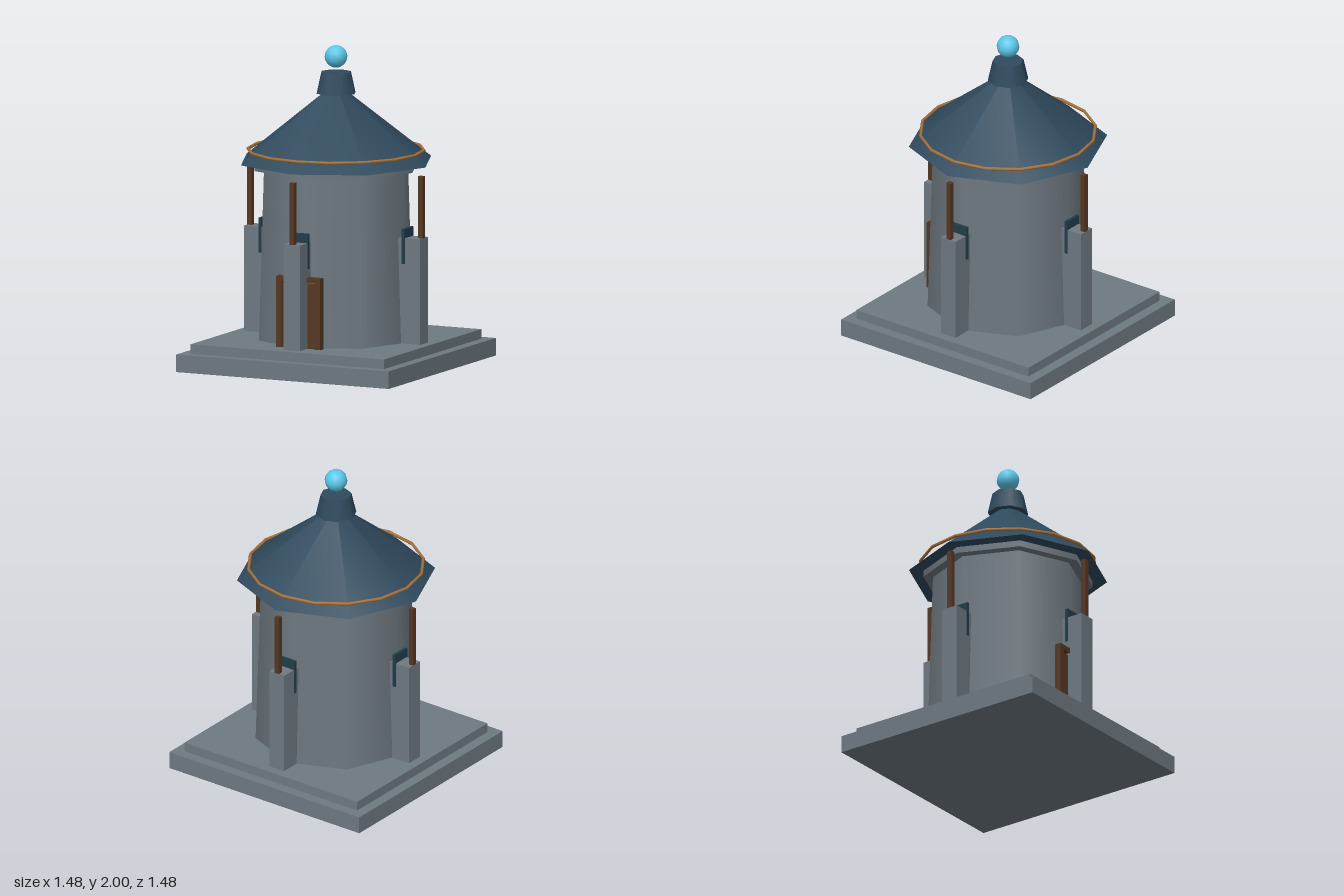
import * as THREE from 'three';

const mat = (color) => new THREE.MeshStandardMaterial({ color });

export function createModel() {
  const model = new THREE.Group();
  model.name = 'tower';
  const stone = mat(0x6e7981), slate = mat(0x2f4a5d), wood = mat(0x553722);
  const brass = mat(0xa8733c), teal = mat(0x223c49), glow = mat(0x5cc8ea);

  const add = (name, geometry, material, x, y, z, parent = model) => {
    const mesh = new THREE.Mesh(geometry, material);
    mesh.name = name;
    mesh.position.set(x, y, z);
    parent.add(mesh);
    return mesh;
  };
  // Box given by its width, depth range and height range
  const block = (name, material, w, y0, y1, z0, z1, x = 0, parent = model) =>
    add(name, new THREE.BoxGeometry(w, y1 - y0, z1 - z0), material, x, (y0 + y1) / 2, (z0 + z1) / 2, parent);
  // Eight-sided drum or cone with smooth sides
  const drum = (name, material, rTop, rBottom, y0, y1) =>
    add(name, new THREE.CylinderGeometry(rTop, rBottom, y1 - y0, 8), material, 0, (y0 + y1) / 2, 0);

  // Stepped square base
  block('base', stone, 1.475, 0, 0.11, -0.7375, 0.7375);
  block('baseStep', stone, 1.34, 0.11, 0.17, -0.67, 0.67);

  // Tapered wall, cornice and roof
  drum('wall', stone, 0.47, 0.503, 0.17, 1.24);
  drum('cornice', stone, 0.53, 0.53, 1.235, 1.277);
  drum('roof', slate, 0, 0.62, 1.275, 1.765);
  drum('roofCap', slate, 0.097, 0.127, 1.7, 1.832);
  add('orb', new THREE.SphereGeometry(0.071, 12, 8), glow, 0, 1.929, 0);

  // Metal band round the roof
  const band = add('roofBand', new THREE.TorusGeometry(0.547, 0.01, 6, 16), brass, 0, 1.345, 0);
  band.rotation.x = Math.PI / 2;

  // Buttress, post and window on each of the four sides
  for (let i = 0; i < 4; i++) {
    const side = new THREE.Group();
    side.name = 'buttressSide';
    side.rotation.y = (i * Math.PI) / 2;
    block('buttress', stone, 0.113, 0.17, 0.832, 0.42, 0.61, 0, side);
    block('post', wood, 0.032, 0.82, 1.22, 0.577, 0.609, 0, side);
    block('window', teal, 0.125, 0.67, 0.89, 0.487, 0.507, 0, side);
    model.add(side);
  }

  // Front door: frame with a recessed leaf
  const door = new THREE.Group();
  door.name = 'door';
  for (const s of [-1, 1]) block('doorJamb', wood, 0.036, 0.17, 0.617, 0.477, 0.52, s * 0.135, door);
  block('doorLintel', wood, 0.234, 0.585, 0.617, 0.477, 0.52, 0, door);
  block('doorLeaf', wood, 0.23, 0.17, 0.572, 0.465, 0.505, 0, door);
  model.add(door);

  return model;
}
